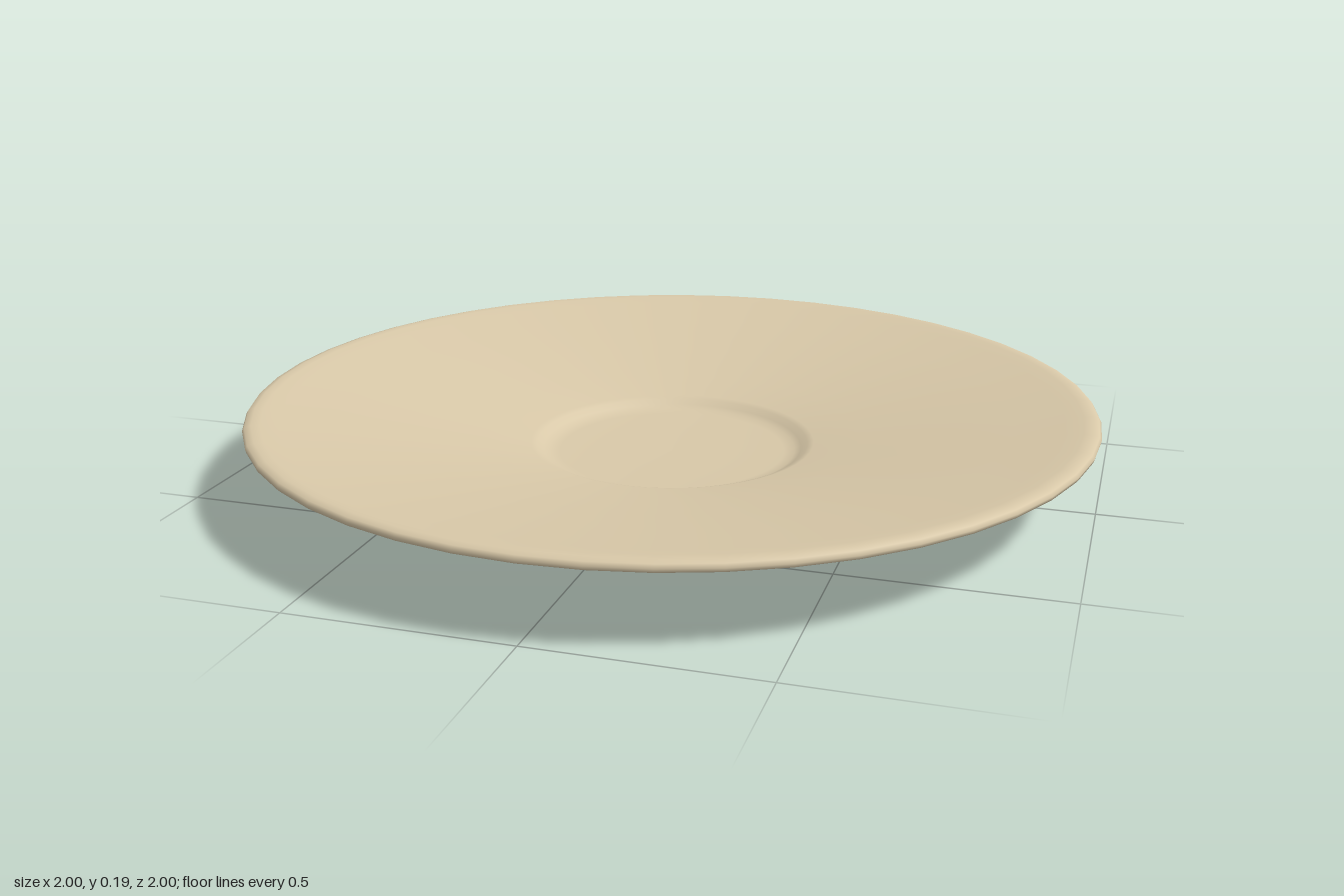
import * as THREE from 'three';

export function createModel() {
  const model = new THREE.Group();
  const material = new THREE.MeshStandardMaterial({ color: 0xd8c8a8 });

  // Turns a list of [radius, height] pairs, running outward below and inward above
  const turned = (name, profile) => {
    const points = profile.map(([r, y]) => new THREE.Vector2(r, y));
    const mesh = new THREE.Mesh(new THREE.LatheGeometry(points, 48), material);
    mesh.name = name;
    model.add(mesh);
  };

  // Flat foot, kept separate so its edge stays crisp
  turned('foot', [[0, 0], [0.26, 0]]);

  // Sloping underside, rounded rim, sloping inside and sunken well
  turned('dish', [
    [0.26, 0], [0.31, 0.015], [0.45, 0.044], [0.62, 0.08], [0.8, 0.117],
    [0.94, 0.15], [0.985, 0.162],
    [0.998, 0.168], [1, 0.176], [0.995, 0.184], [0.98, 0.188], [0.96, 0.187],
    [0.92, 0.18], [0.8, 0.16], [0.62, 0.13], [0.45, 0.1], [0.34, 0.081],
    [0.325, 0.076], [0.31, 0.066], [0.295, 0.059], [0.27, 0.055], [0.15, 0.052], [0, 0.05],
  ]);

  return model;
}
